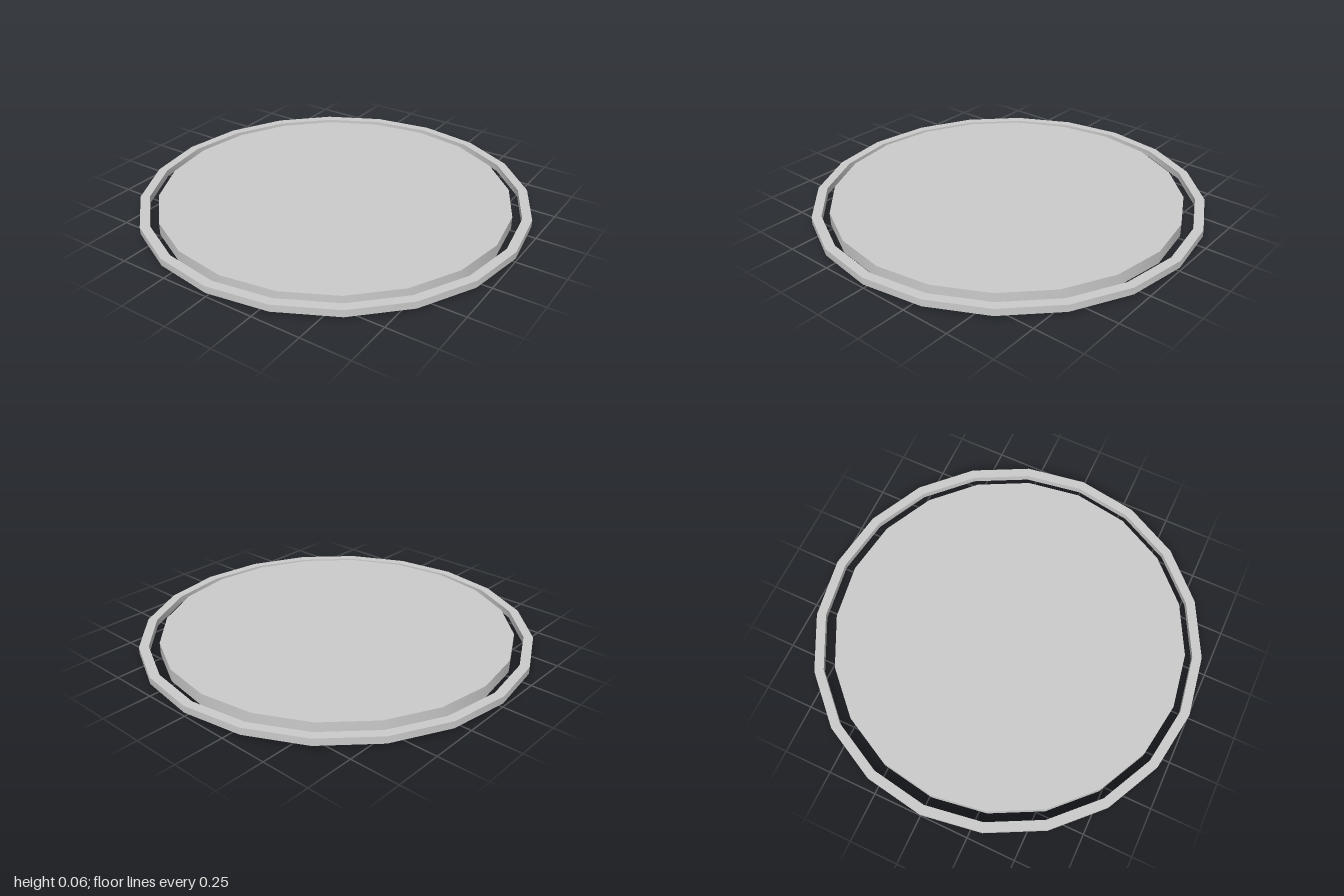
import * as THREE from 'three';
import { toCreasedNormals } from 'three/addons/utils/BufferGeometryUtils.js';

const SIDES = 20;

export function createModel() {
  const group = new THREE.Group();
  const material = new THREE.MeshStandardMaterial({ color: 0xcccccc });

  const addPart = (name, geometry, x, y, z) => {
    const mesh = new THREE.Mesh(geometry, material);
    mesh.name = name;
    mesh.position.set(x, y, z);
    group.add(mesh);
  };

  // Thick inner disc, very slightly off centre inside the ring
  const thickness = 0.064;
  addPart('disc', new THREE.CylinderGeometry(0.903, 0.903, thickness, SIDES), 0.004, thickness / 2, 0.009);

  // Separate thin outer ring with a rectangular section
  const inner = 0.952, outer = 1, half = 0.018;
  const section = [
    [inner, -half], [outer, -half], [outer, half], [inner, half], [inner, -half],
  ].map(([r, y]) => new THREE.Vector2(r, y));
  const ring = toCreasedNormals(new THREE.LatheGeometry(section, SIDES), 0.5);
  addPart('outerRing', ring, 0, 0.037, 0);

  return group;
}
